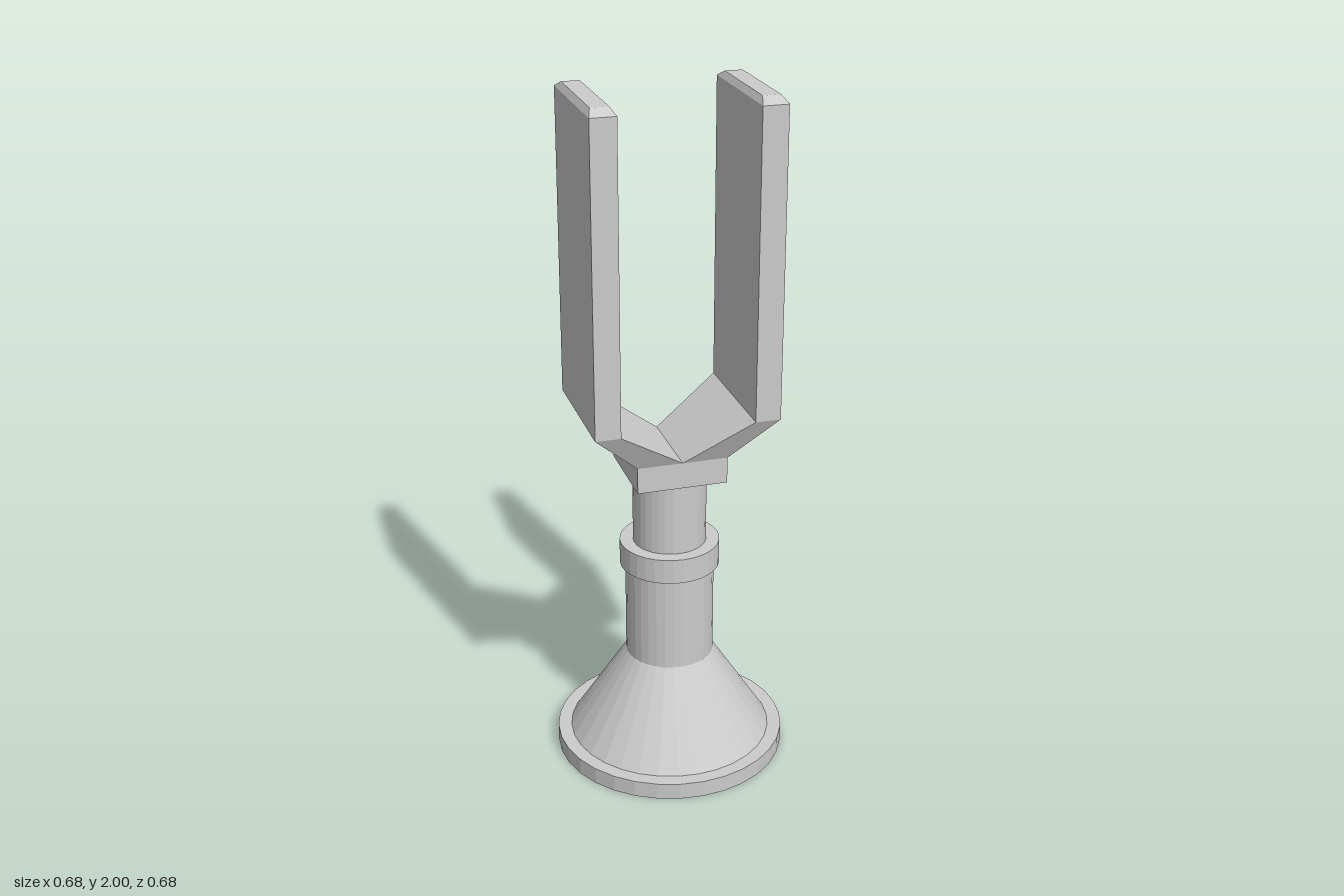
import * as THREE from 'three';

const material = new THREE.MeshStandardMaterial({ color: 0xcccccc, flatShading: true });

function addMesh(parent, name, geometry, y = 0) {
  const mesh = new THREE.Mesh(geometry, material);
  mesh.name = name;
  mesh.position.y = y;
  parent.add(mesh);
  return mesh;
}

// Round section standing between two heights
function addRound(parent, name, rBottom, rTop, y0, y1) {
  const geometry = new THREE.CylinderGeometry(rTop, rBottom, y1 - y0, 32);
  return addMesh(parent, name, geometry, (y0 + y1) / 2);
}

// Joins rectangular sections [xInner, xOuter, y, zHalf] from bottom to top
function loftSections(sections) {
  const positions = [];
  const index = [];
  for (const [xi, xo, y, z] of sections) {
    positions.push(xi, y, z, xo, y, z, xo, y, -z, xi, y, -z);
  }
  for (let s = 0; s < sections.length - 1; s++) {
    for (let i = 0; i < 4; i++) {
      const a = s * 4 + i;
      const b = s * 4 + (i + 1) % 4;
      index.push(a, b, b + 4, a, b + 4, a + 4);
    }
  }
  const top = (sections.length - 1) * 4;
  index.push(0, 2, 1, 0, 3, 2);
  index.push(top, top + 1, top + 2, top, top + 2, top + 3);
  const indexed = new THREE.BufferGeometry();
  indexed.setAttribute('position', new THREE.Float32BufferAttribute(positions, 3));
  indexed.setIndex(index);
  const geometry = indexed.toNonIndexed();
  geometry.computeVertexNormals();
  return geometry;
}

export function createModel() {
  const model = new THREE.Group();
  model.name = 'forkStand';

  // Base and telescoping column
  addRound(model, 'baseDisc', 0.34, 0.34, 0, 0.05);
  addRound(model, 'baseCone', 0.3, 0.13, 0.05, 0.315);
  addRound(model, 'outerColumn', 0.13, 0.13, 0.315, 0.605);
  addRound(model, 'collar', 0.146, 0.146, 0.605, 0.68);
  addRound(model, 'innerColumn', 0.107, 0.107, 0.68, 0.9);

  // Square head carrying the fork
  addMesh(model, 'headBlock', new THREE.BoxGeometry(0.262, 0.077, 0.262), 0.9385);

  // Fork arms: flared foot, upright plate and chamfered tip
  const armGeometry = loftSections([
    [0, 0.131, 0.977, 0.131],
    [0.192, 0.265, 1.102, 0.19],
    [0.192, 0.265, 1.982, 0.19],
    [0.203, 0.254, 2, 0.154],
  ]);
  addMesh(model, 'leftForkArm', armGeometry);
  addMesh(model, 'rightForkArm', armGeometry).rotation.y = Math.PI;

  return model;
}
